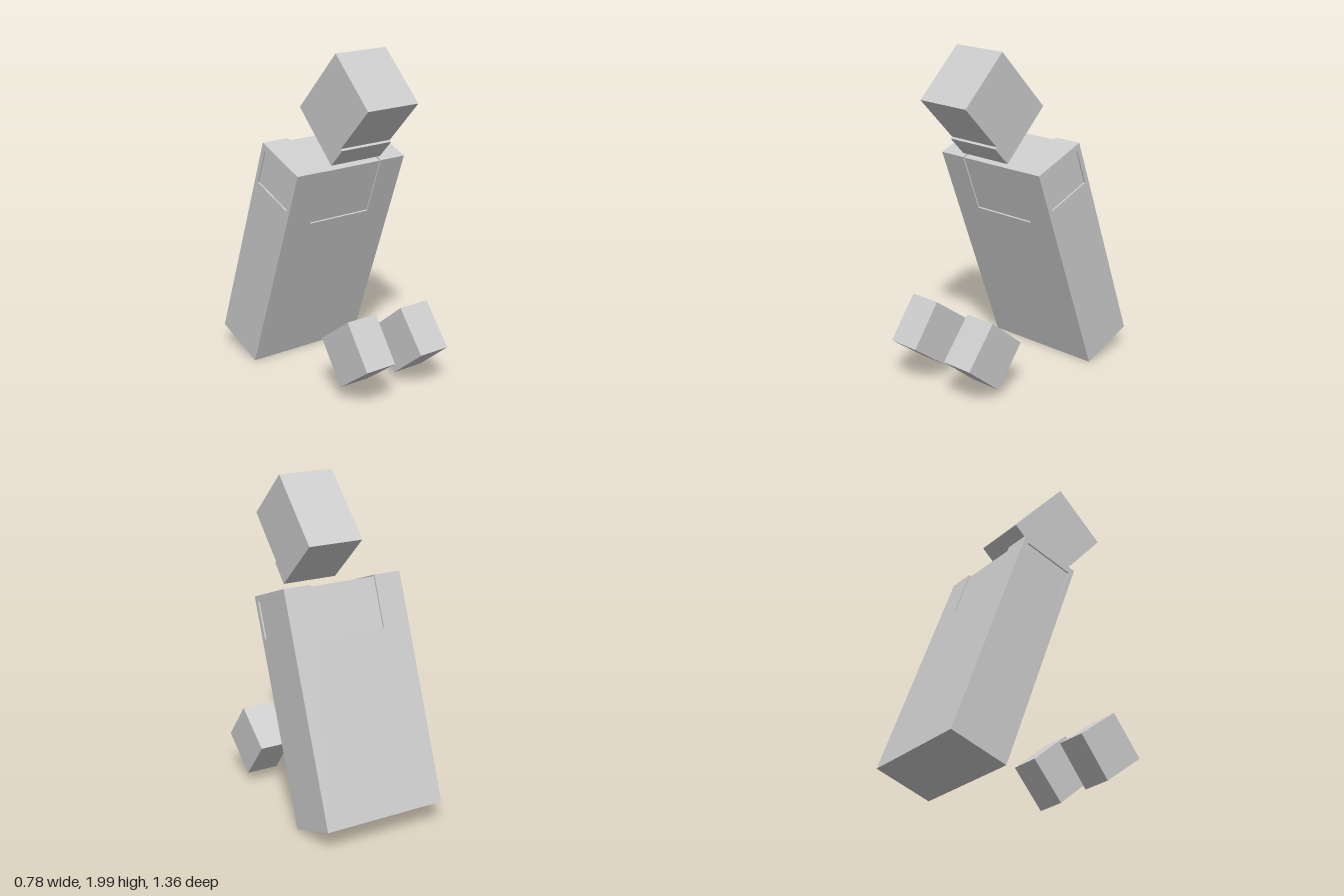
import * as THREE from 'three';

const grey = new THREE.MeshStandardMaterial({ color: 0xcccccc, flatShading: true });

function box(name, w, h, d, x = 0, y = 0, z = 0, tilt = 0) {
  const mesh = new THREE.Mesh(new THREE.BoxGeometry(w, h, d), grey);
  mesh.name = name;
  mesh.position.set(x, y, z);
  mesh.rotation.x = tilt;
  return mesh;
}

// Side profile given as [z, y] points, extruded from x0 to x1
function sideSlab(name, points, x0, x1, hole) {
  const toVectors = (list) => list.map(([z, y]) => new THREE.Vector2(z, y));
  const shape = new THREE.Shape(toVectors(points));
  if (hole) shape.holes.push(new THREE.Path(toVectors(hole)));
  const geometry = new THREE.ExtrudeGeometry(shape, { depth: x1 - x0, bevelEnabled: false });
  geometry.rotateY(-Math.PI / 2).translate(x1, 0, 0);
  const mesh = new THREE.Mesh(geometry, grey);
  mesh.name = name;
  return mesh;
}

const rect = (z, y0, y1) => [[-z, y0], [z, y0], [z, y1], [-z, y1]];

export function createModel() {
  const model = new THREE.Group();
  model.name = 'blockFigure';

  // Leaning torso, built upright and tilted as a group
  const torso = new THREE.Group();
  torso.name = 'torso';
  torso.position.set(0, 0.72, -0.2625);
  torso.rotation.x = 0.355;
  const hz = 0.186, hy = 0.696, inset = 0.01, neckX = 0.215, skin = 0.382, hx = 0.392;

  // Centre strip, stepped in at the collar on front, top and back
  torso.add(sideSlab('collarAndChest', [
    [-hz, -hy], [hz, -hy], [hz, 0.328], [hz - inset, 0.328], [hz - inset, hy - inset],
    [-hz + inset, hy - inset], [-hz + inset, 0.38], [-hz, 0.38],
  ], -neckX, neckX));

  // Sides with a shallow arm socket near each shoulder
  for (const [side, s] of [['left', 1], ['right', -1]]) {
    const span = (a, b) => (s > 0 ? [a, b] : [-b, -a]);
    torso.add(sideSlab(side + 'Flank', rect(hz, -hy, hy), ...span(neckX, skin)));
    torso.add(sideSlab(side + 'ArmSocket', rect(hz, -hy, hy), ...span(skin, hx), rect(0.155, 0.437, 0.658)));
  }
  model.add(torso);

  // Tilted head with a slightly protruding chin
  const head = new THREE.Group();
  head.name = 'head';
  head.position.set(0, 1.677, 0.201);
  head.rotation.x = 0.76;
  head.add(box('skull', 0.358, 0.501, 0.404));
  head.add(box('chin', 0.358, 0.147, 0.1, 0, -0.177, 0.167));
  model.add(head);

  // Loose feet in front of the body
  model.add(box('rightFoot', 0.204, 0.305, 0.307, -0.198, 0.3, 0.4675, 0.94));
  model.add(box('leftFoot', 0.204, 0.305, 0.306, 0.223, 0.2725, 0.4425, 0.89));
  return model;
}
